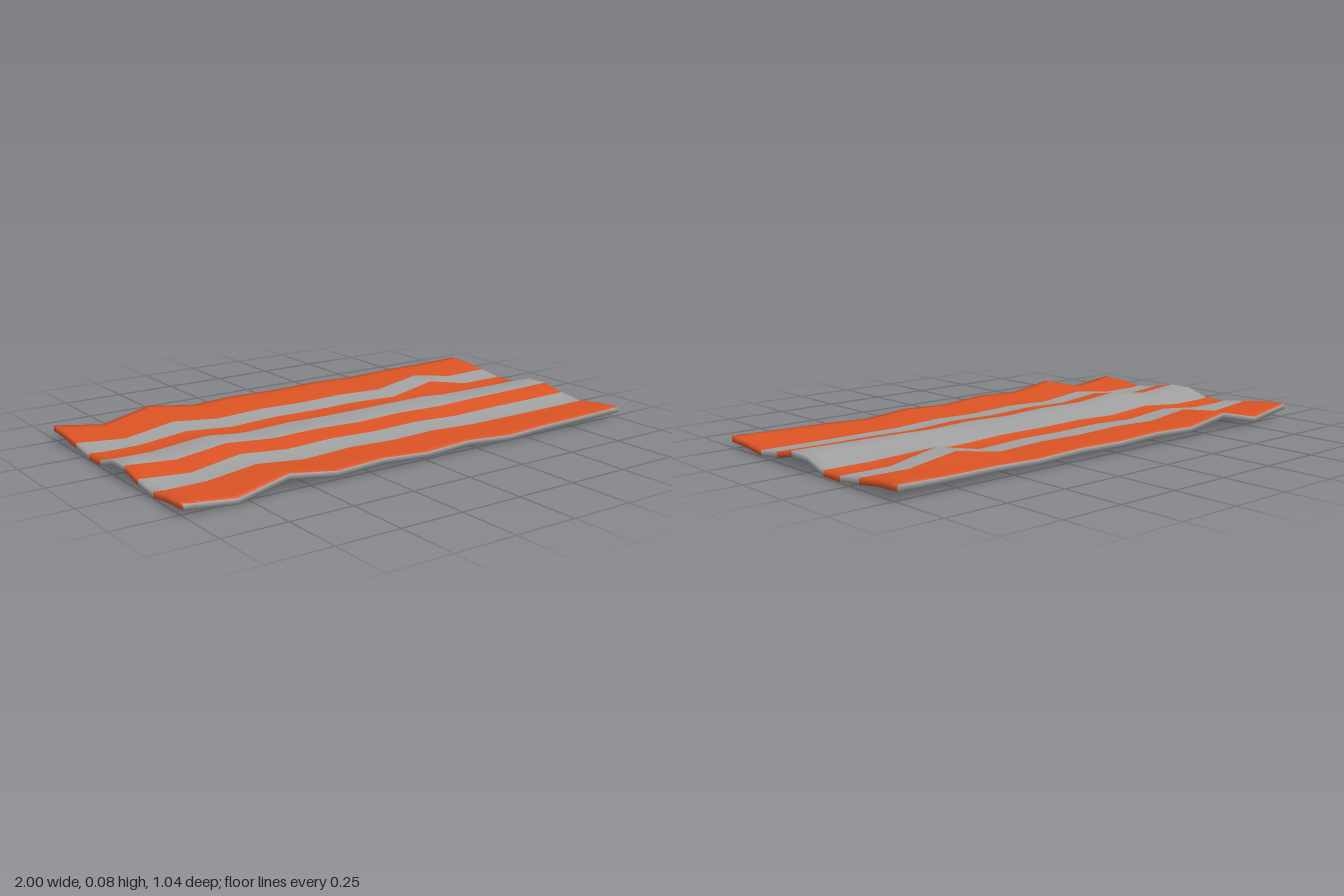
import * as THREE from 'three';

// Rippled striped rug: a thin sheet with a slightly deeper hem around its border
const orange = new THREE.MeshStandardMaterial({ color: 0xdc5424 });
orange.name = 'orange cloth';
const grey = new THREE.MeshStandardMaterial({ color: 0xa2a2a2 });
grey.name = 'grey cloth';

const hemDepth = 0.022;
const sheetDepth = 0.012;
const restHeight = 0.047;

// Wave heights along the long edges (x from -1 to 1) and across the width (z from -0.52 to 0.52)
const frontWave = [0.045, 0.022, 0.068, 0.04, 0.048, 0.034, 0.043, 0.028, 0.036, 0.04, 0.045];
const backWave = [0.055, 0.026, 0.07, 0.042, 0.05, 0.045, 0.05, 0.044, 0.05, 0.05, 0.055];
const crossWave = [0.05, 0.048, 0.036, 0.024, 0.024, 0.058, 0.06, 0.037, 0.026, 0.042, 0.047];

// Single raised folds: x, z, rise
const folds = [[0.6, -0.2, 0.036], [0.6, -0.31, 0.03], [0.4, 0, 0.02], [-0.6, 0, 0.01]];

function sample(list, t) {
  const s = Math.min(Math.max(t, 0), 1) * (list.length - 1);
  const i = Math.min(Math.floor(s), list.length - 2);
  return THREE.MathUtils.lerp(list[i], list[i + 1], s - i);
}

function height(x, z) {
  const u = (x + 1) / 2;
  const v = (z + 0.52) / 1.04;
  // the long edge ripples calm down towards the middle
  const along = THREE.MathUtils.lerp(sample(backWave, u), sample(frontWave, u), v) - restHeight;
  const across = sample(crossWave, v) - 0.048;
  let y = restHeight + along * (0.45 + 0.55 * Math.abs(z) / 0.52) + across * (0.55 + 0.45 * Math.abs(x));
  for (const [fx, fz, rise] of folds) {
    y += rise * Math.max(0, 1 - Math.abs(x - fx) / 0.2) * Math.max(0, 1 - Math.abs(z - fz) / 0.1);
  }
  return THREE.MathUtils.clamp(y, hemDepth, 0.084);
}

function createRug() {
  const xs = [-1, -0.955, -0.945, -0.8, -0.6, -0.4, -0.2, 0, 0.2, 0.4, 0.6, 0.8, 0.945, 0.955, 1];
  const zs = [-0.52, -0.49, -0.48, -0.41, -0.31, -0.2, -0.1, 0, 0.1, 0.2, 0.31, 0.41, 0.48, 0.49, 0.52];
  const nx = xs.length;
  const nz = zs.length;
  const positions = [];

  // Top layer, then the layer underneath
  for (const under of [false, true]) {
    zs.forEach((z, j) => xs.forEach((x, i) => {
      const hem = i < 2 || i > nx - 3 || j < 2 || j > nz - 3;
      const drop = under ? (hem ? hemDepth : sheetDepth) : 0;
      // the long edges wander very slightly
      const sway = 0.004 * Math.sin(x * 3 + 1) * Math.abs(z);
      positions.push(x, height(x, z) - drop, z - sway);
    }));
  }

  const faces = [[], []]; // orange, grey
  const top = (i, j) => j * nx + i;
  const low = (i, j) => nx * nz + j * nx + i;
  const quad = (colour, a, b, c, d) => faces[colour].push(a, b, c, a, c, d);
  const stripe = (j) => {
    const m = Math.abs((zs[j] + zs[j + 1]) / 2);
    return m < 0.1 || (m > 0.2 && m < 0.31) ? 1 : 0;
  };

  for (let j = 0; j < nz - 1; j++) {
    const colour = stripe(j);
    for (let i = 0; i < nx - 1; i++) {
      const longHem = j === 0 || j === nz - 2;
      quad(colour, top(i, j), top(i, j + 1), top(i + 1, j + 1), top(i + 1, j));
      quad(longHem ? 1 : colour, low(i, j), low(i + 1, j), low(i + 1, j + 1), low(i, j + 1));
    }
    // short ends carry the stripes down
    const e = nx - 1;
    quad(colour, top(0, j), low(0, j), low(0, j + 1), top(0, j + 1));
    quad(colour, top(e, j), top(e, j + 1), low(e, j + 1), low(e, j));
  }
  // long edges are bound in grey
  for (let i = 0; i < nx - 1; i++) {
    const f = nz - 1;
    quad(1, top(i, 0), top(i + 1, 0), low(i + 1, 0), low(i, 0));
    quad(1, top(i, f), low(i, f), low(i + 1, f), top(i + 1, f));
  }

  const geometry = new THREE.BufferGeometry();
  geometry.setAttribute('position', new THREE.Float32BufferAttribute(positions, 3));
  geometry.setIndex([...faces[0], ...faces[1]]);
  geometry.addGroup(0, faces[0].length, 0);
  geometry.addGroup(faces[0].length, faces[1].length, 1);
  geometry.computeVertexNormals();
  const mesh = new THREE.Mesh(geometry, [orange, grey]);
  mesh.name = 'stripedRug';
  return mesh;
}

export function createModel() {
  const group = new THREE.Group();
  group.name = 'rug';
  group.add(createRug());
  return group;
}
